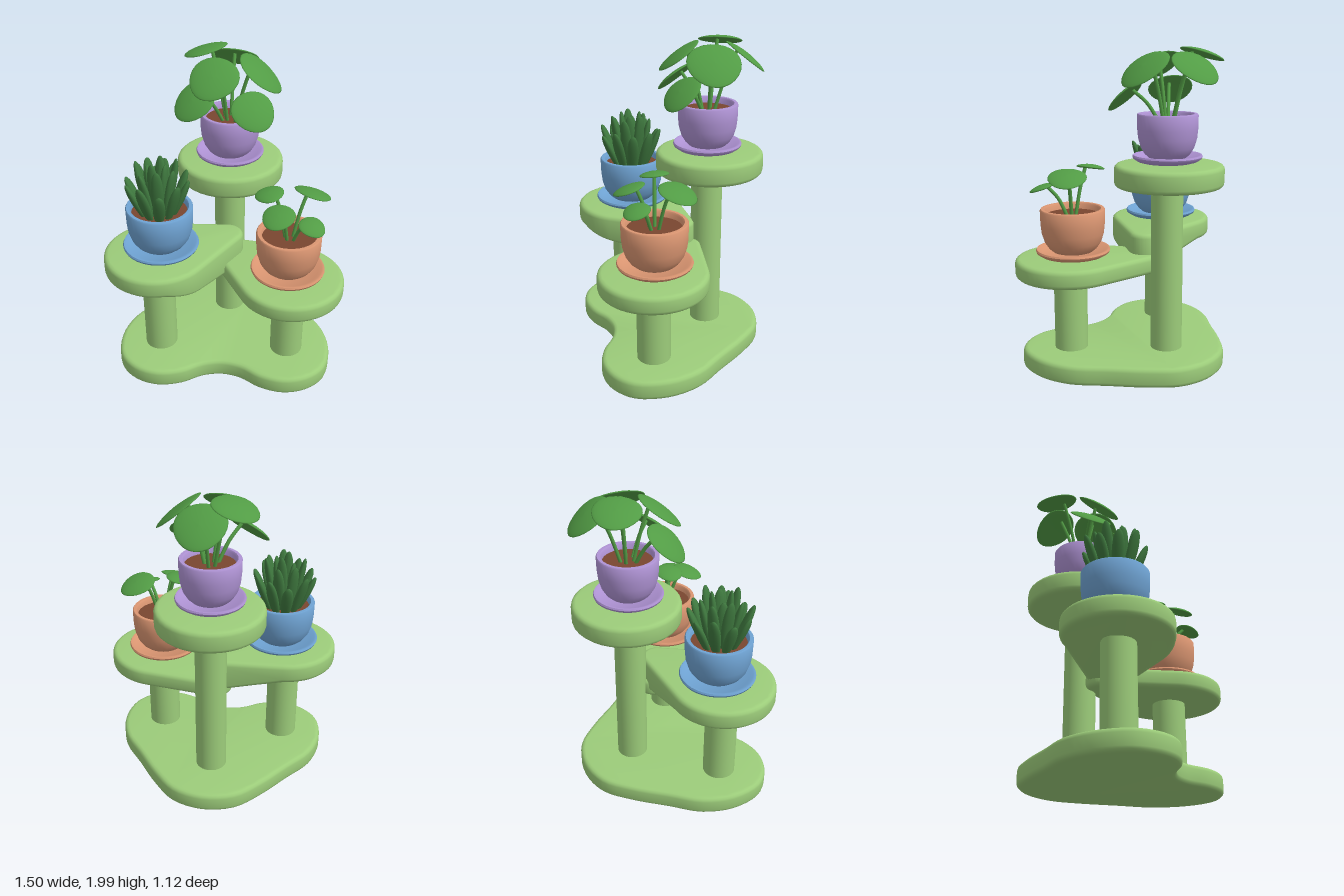
import * as THREE from 'three';
import { toCreasedNormals } from 'three/addons/utils/BufferGeometryUtils.js';

const paint = (name, color) => {
  const m = new THREE.MeshStandardMaterial({ color });
  m.name = name;
  return m;
};

export function createModel() {
  const model = new THREE.Group();
  model.name = 'plantStand';
  const green = paint('standGreen', 0x9ccc7a);
  const purple = paint('potPurple', 0xaf93d4);
  const blue = paint('potBlue', 0x6fa3d3);
  const orange = paint('potOrange', 0xdb9672);
  const soil = paint('soilBrown', 0x7a4630);
  const leafGreen = paint('leafGreen', 0x529c45);
  const darkGreen = paint('succulentGreen', 0x3f793f);

  const add = (name, geo, mat, parent = model) => {
    const mesh = new THREE.Mesh(geo, mat);
    mesh.name = name;
    parent.add(mesh);
    return mesh;
  };

  // Flat slab with softened rims; the outline is given in x and -z
  const slab = (shape, y0, y1, bevel = 0.028) => {
    const g = new THREE.ExtrudeGeometry(shape, {
      depth: y1 - y0 - 2 * bevel, bevelEnabled: true, bevelThickness: bevel,
      bevelSize: bevel, bevelOffset: -bevel, bevelSegments: 3, curveSegments: 18,
    });
    g.rotateX(-Math.PI / 2).translate(0, y0 + bevel, 0);
    return g;
  };

  // Outline wrapping a big circle and a small one
  const pear = (cx, cz, r, ex, ez, e) => {
    const a = Math.atan2(cz - ez, ex - cx);
    const b = Math.acos((r - e) / Math.hypot(ex - cx, ez - cz));
    const s = new THREE.Shape();
    s.absarc(cx, -cz, r, a + b, a - b + Math.PI * 2, false);
    s.absarc(ex, -ez, e, a - b, a + b, false);
    return s;
  };

  // Base with three lobes and a hollow front edge
  const half = [[0.2, -0.51], [0.35, -0.37], [0.5, -0.18], [0.64, 0.0], [0.695, 0.2],
    [0.66, 0.4], [0.55, 0.51], [0.4, 0.552], [0.25, 0.52], [0.12, 0.445]];
  const outline = [[0, -0.56], ...half, [0, 0.42], ...half.map(([x, z]) => [-x, z]).reverse()];
  const loop = new THREE.CatmullRomCurve3(outline.map(([x, z]) => new THREE.Vector3(x, -z, 0)), true);
  const baseShape = new THREE.Shape(loop.getPoints(88).slice(0, -1).map((p) => new THREE.Vector2(p.x, p.y)));
  add('base', toCreasedNormals(slab(baseShape, 0, 0.125), 0.7), green);

  // Left shelf, whose neck thickens downward towards the back post
  const left = slab(pear(-0.42, 0.225, 0.33, 0, -0.025, 0.1), 0.72, 0.845);
  const p = left.attributes.position;
  for (let i = 0; i < p.count; i++) {
    if (p.getY(i) < 0.78) {
      p.setY(i, p.getY(i) - THREE.MathUtils.clamp(0.3 * (p.getX(i) + 0.32), 0, 0.1));
    }
  }
  add('leftShelf', toCreasedNormals(left, 0.7), green);
  add('rightShelf', toCreasedNormals(slab(pear(0.415, 0.23, 0.335, 0, -0.05, 0.11), 0.6, 0.715), 0.7), green);
  const disc = new THREE.Shape().absarc(0, 0.225, 0.335, 0, Math.PI * 2, false);
  add('topShelf', toCreasedNormals(slab(disc, 1.165, 1.3), 0.7), green);

  // Posts
  for (const [name, x, z, r, top] of [['leftPost', -0.42, 0.23, 0.104, 0.74],
    ['rightPost', 0.41, 0.23, 0.104, 0.62], ['backPost', 0, -0.21, 0.099, 1.18]]) {
    const g = new THREE.CylinderGeometry(r, r, top - 0.1, 28);
    add(name, g.translate(x, (top + 0.1) / 2, z), green);
  }

  // Pot with thick wall, saucer and soil; y is the saucer's underside
  const lathe = (pts) => toCreasedNormals(
    new THREE.LatheGeometry(pts.map(([r, y]) => new THREE.Vector2(r, y)), 36), 0.75);
  const pot = (name, x, y, z, r, h, mat) => {
    const g = new THREE.Group();
    g.name = name;
    g.position.set(x, y, z);
    model.add(g);
    const s = r / 0.2;
    add('saucer', lathe([[0, 0], [0.17, 0], [0.2, 0.008], [0.225, 0.024], [0.23, 0.036], [0.225, 0.046],
      [0.212, 0.046], [0.19, 0.03], [0, 0.028]].map(([a, b]) => [a * s, b])), mat, g);
    const b = 0.03, t = h;
    add('pot', lathe([[0, b], [0.125 * s, b], [0.15 * s, b + 0.022], [0.175 * s, b + 0.06],
      [0.192 * s, b + 0.115], [0.198 * s, b + 0.17], [r, t - 0.008], [r - 0.006, t],
      [r - 0.024, t], [r - 0.032, t - 0.01], [r - 0.036, t - 0.07], [0, t - 0.07]]), mat, g);
    add('soil', new THREE.CylinderGeometry(r - 0.033, r - 0.033, 0.02, 28).translate(0, t - 0.05, 0), soil, g);
  };
  pot('purplePot', 0, 1.31, -0.21, 0.185, 0.292, purple);
  pot('bluePot', -0.395, 0.855, 0.2, 0.205, 0.303, blue);
  pot('orangePot', 0.395, 0.725, 0.215, 0.2, 0.297, orange);

  // Round leaves on bent stems: centre, normal, radius
  const up = new THREE.Vector3(0, 1, 0);
  const roundPlant = (name, root, leaves) => {
    const g = new THREE.Group();
    g.name = name;
    model.add(g);
    const o = new THREE.Vector3(...root);
    for (const [c, n, r] of leaves) {
      const centre = new THREE.Vector3(...c);
      const normal = new THREE.Vector3(...n).normalize();
      const geo = new THREE.SphereGeometry(1, 24, 12);
      const v = geo.attributes.position;
      // Slightly pointed outer end, gently domed blade
      for (let i = 0; i < v.count; i++) {
        const x = v.getX(i), z = v.getZ(i);
        v.setXYZ(i, x * r, v.getY(i) * 0.014 - 0.09 * r * (x * x + z * z) + 0.005, z * r * (1 - 0.12 * x));
      }
      geo.computeVertexNormals();
      const leaf = add('leaf', geo, leafGreen, g);
      const out = centre.clone().sub(o).setY(0).normalize();
      out.addScaledVector(normal, -out.dot(normal)).normalize();
      const side = new THREE.Vector3().crossVectors(out, normal);
      leaf.quaternion.setFromRotationMatrix(new THREE.Matrix4().makeBasis(out, normal, side));
      leaf.position.copy(centre);
      const end = centre.clone().addScaledVector(out, -r * 0.45).addScaledVector(normal, -0.008);
      const start = o.clone().lerp(new THREE.Vector3(centre.x, o.y, centre.z), 0.15);
      const mid = start.clone().lerp(end, 0.5).addScaledVector(up, 0.03);
      add('stem', new THREE.TubeGeometry(new THREE.CatmullRomCurve3([start, mid, end]), 10, 0.011, 8), leafGreen, g);
    }
  };
  roundPlant('tallRoundLeafPlant', [0, 1.53, -0.21], [
    [[-0.165, 1.955, -0.335], [-0.27, 0.95, -0.12], 0.137],
    [[0.015, 1.88, -0.44], [0.08, 0.78, -0.6], 0.148],
    [[0.19, 1.872, -0.19], [0.62, 0.77, 0.08], 0.16],
    [[-0.205, 1.735, -0.05], [-0.42, 0.75, 0.5], 0.138],
    [[-0.085, 1.885, -0.04], [-0.12, 0.8, 0.57], 0.148],
    [[0.155, 1.705, 0.0], [0.25, 0.72, 0.62], 0.13],
  ]);
  roundPlant('smallRoundLeafPlant', [0.395, 0.96, 0.215], [
    [[0.53, 1.24, 0.105], [0.25, 0.93, -0.25], 0.115],
    [[0.265, 1.265, 0.185], [-0.2, 0.97, 0.05], 0.088],
    [[0.325, 1.21, 0.35], [-0.15, 0.93, 0.3], 0.098],
    [[0.525, 1.15, 0.345], [0.2, 0.94, 0.25], 0.08],
  ]);

  // Succulent: rings of plump blades leaning outward
  const succulent = new THREE.Group();
  succulent.name = 'succulent';
  succulent.position.set(-0.4, 1.05, 0.2);
  model.add(succulent);
  const rings = [[10, 0.07, 0.195, 0.3, 0.1], [7, 0.045, 0.125, 0.385, 0.5], [4, 0.02, 0.06, 0.4, 0.3]];
  for (const [count, r0, r1, h, turn] of rings) {
    for (let i = 0; i < count; i++) {
      const a = turn + (i / count) * Math.PI * 2;
      const top = h + 0.025 * Math.sin(i * 2.4);
      const len = Math.hypot(r1 - r0, top);
      const geo = new THREE.SphereGeometry(1, 14, 14);
      const v = geo.attributes.position;
      // Blade widest above the middle
      for (let k = 0; k < v.count; k++) {
        const y = v.getY(k), w = 1 + 0.25 * y;
        v.setXYZ(k, v.getX(k) * 0.022 * w, (y + 1) * len / 2, v.getZ(k) * 0.036 * w);
      }
      geo.computeVertexNormals();
      const blade = add('blade', geo, darkGreen, succulent);
      blade.position.set(Math.cos(a) * r0, 0, Math.sin(a) * r0);
      blade.rotation.order = 'YXZ';
      blade.rotation.set(0, -a, -Math.atan2(r1 - r0, top));
    }
  }
  return model;
}
